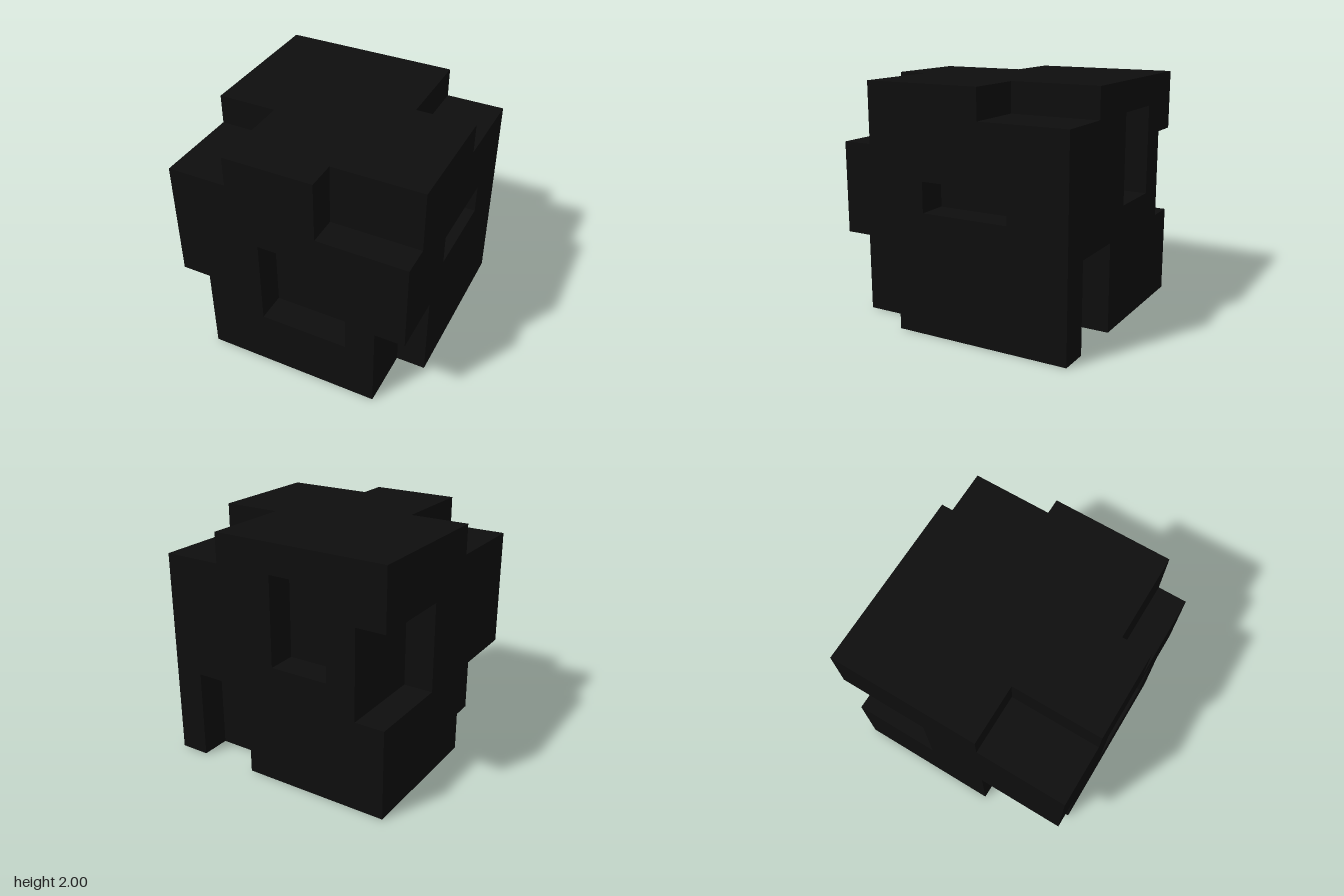
import * as THREE from 'three';

const N = 8;            // cells along each side
const CELL = 2 / N;

// Rectangular notches cut out of the cube, in cells: [min corner, max corner]
const NOTCHES = [
  [[0, 7, 5], [2, 8, 8]],   // top, front, -x corner
  [[5, 6, 7], [8, 8, 8]],   // top, front, +x corner
  [[6, 7, 0], [8, 8, 3]],   // top, back, +x corner
  [[0, 0, 5], [1, 3, 8]],   // bottom, front, -x corner
  [[7, 0, 6], [8, 3, 8]],   // bottom, front, +x corner
  [[0, 3, 0], [1, 6, 3]],   // back upright edge, -x side
  [[5, 0, 0], [7, 3, 1]],   // back, open at the bottom
  [[2, 4, 0], [4, 7, 1]],   // back pocket
  [[3, 2, 7], [6, 5, 8]],   // front pocket
  [[7, 4, 2], [8, 5, 5]],   // +x side slot
];

const isSolid = (p) =>
  p.every((v) => v >= 0 && v < N) &&
  !NOTCHES.some(([lo, hi]) => p.every((v, k) => v >= lo[k] && v < hi[k]));

// Emits one square for every cell side that borders empty space
function carvedCubeGeometry() {
  const positions = [];
  const normals = [];
  const addFace = (cell, axis, dir) => {
    const b = (axis + 1) % 3;
    const c = (axis + 2) % 3;
    const corners = [[0, 0], [1, 0], [1, 1], [0, 1]].map(([u, v]) => {
      const p = [...cell];
      if (dir > 0) p[axis] += 1;
      p[b] += u;
      p[c] += v;
      return [p[0] * CELL - 1, p[1] * CELL, p[2] * CELL - 1];
    });
    if (dir < 0) corners.reverse();
    const normal = [0, 0, 0];
    normal[axis] = dir;
    for (const i of [0, 1, 2, 0, 2, 3]) {
      positions.push(...corners[i]);
      normals.push(...normal);
    }
  };

  for (let x = 0; x < N; x++)
    for (let y = 0; y < N; y++)
      for (let z = 0; z < N; z++) {
        const cell = [x, y, z];
        if (!isSolid(cell)) continue;
        for (let axis = 0; axis < 3; axis++)
          for (const dir of [-1, 1]) {
            const next = [...cell];
            next[axis] += dir;
            if (!isSolid(next)) addFace(cell, axis, dir);
          }
      }

  const geometry = new THREE.BufferGeometry();
  geometry.setAttribute('position', new THREE.Float32BufferAttribute(positions, 3));
  geometry.setAttribute('normal', new THREE.Float32BufferAttribute(normals, 3));
  return geometry;
}

export function createModel() {
  const black = new THREE.MeshStandardMaterial({ color: 0x0d0d0d });
  black.name = 'black';

  const block = new THREE.Mesh(carvedCubeGeometry(), black);
  block.name = 'notchedBlock';

  const model = new THREE.Group();
  model.name = 'notchedCube';
  model.add(block);
  return model;
}
